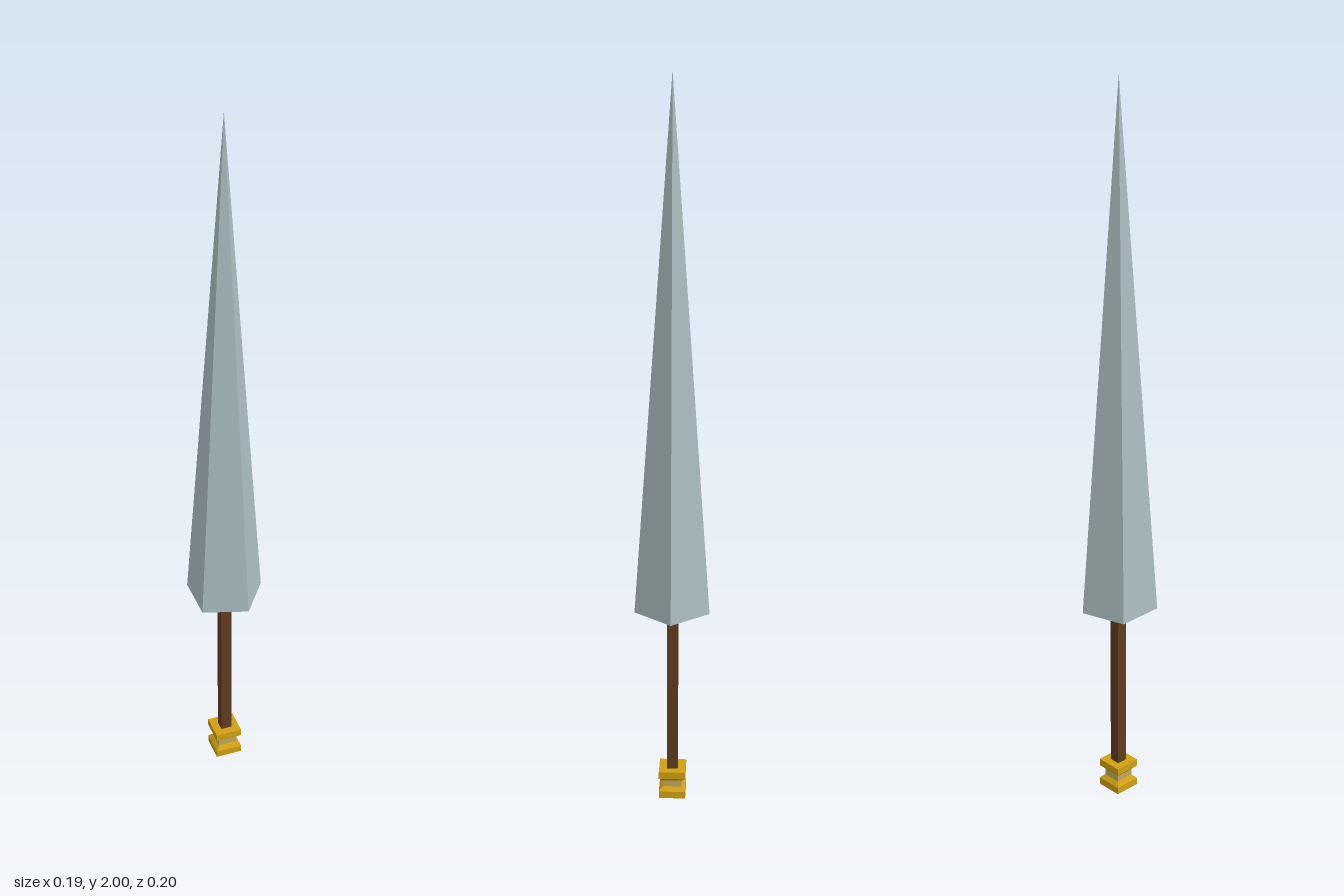
import * as THREE from 'three';

const material = (name, color) => {
  const m = new THREE.MeshStandardMaterial({ color, flatShading: true });
  m.name = name;
  return m;
};

export function createModel() {
  const group = new THREE.Group();
  group.name = 'spear';
  const steel = material('pale steel', 0xabbdc0);
  const wood = material('dark wood', 0x5f3d1f);
  const gold = material('gold', 0xd0a014);
  const paleGold = material('pale gold', 0xc4a85c);
  const axisX = -0.011;

  const add = (name, geometry, mat, y) => {
    const mesh = new THREE.Mesh(geometry, mat);
    mesh.name = name;
    mesh.position.set(axisX, y, 0);
    group.add(mesh);
  };
  // Square frustum given by its full widths, standing on its base height
  const square = (name, bottom, top, y0, y1, mat) => {
    const g = new THREE.CylinderGeometry(top * Math.SQRT1_2, bottom * Math.SQRT1_2, y1 - y0, 4);
    add(name, g.rotateY(Math.PI / 4), mat, (y0 + y1) / 2);
  };

  // Five-sided blade with one edge pointing to +x
  const blade = new THREE.ConeGeometry(0.103, 1.44, 5).rotateY(Math.PI / 2);
  add('blade', blade, steel, 1.28);

  // Square shaft
  square('shaft', 0.029, 0.029, 0.07, 0.565, wood);

  // Pommel: two square collars around a pinched waist
  square('pommelBase', 0.071, 0.071, 0, 0.02, gold);
  square('pommelLowerSlope', 0.071, 0.05, 0.02, 0.031, gold);
  square('pommelWaist', 0.05, 0.05, 0.031, 0.049, paleGold);
  square('pommelUpperSlope', 0.05, 0.071, 0.049, 0.06, gold);
  square('pommelTop', 0.071, 0.071, 0.06, 0.08, gold);

  return group;
}
